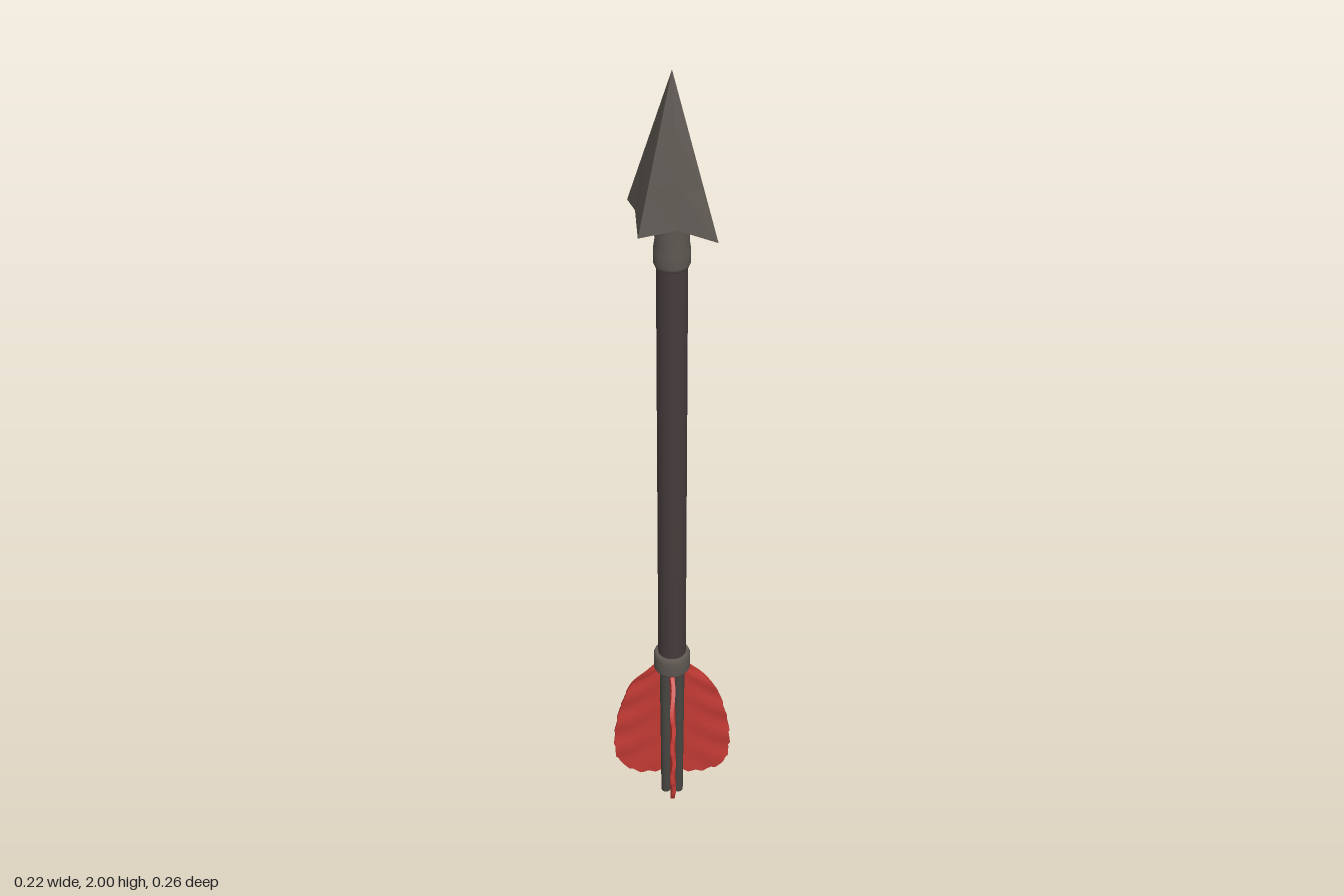
import * as THREE from 'three';

const material = (name, color) => {
  const m = new THREE.MeshStandardMaterial({ color });
  m.name = name;
  return m;
};

export function createModel() {
  const steel = material('dark steel', 0x5d5751);
  const wood = material('dark wood', 0x463c3c);
  const nockGrey = material('nock grey', 0x484641);
  const red = material('feather red', 0xc23a34);
  const model = new THREE.Group();
  model.name = 'arrow';

  const add = (name, geometry, mat, parent = model) => {
    const mesh = new THREE.Mesh(geometry, mat);
    mesh.name = name;
    parent.add(mesh);
    return mesh;
  };
  const lathe = (name, profile, mat, sides = 20) =>
    add(name, new THREE.LatheGeometry(profile.map(p => new THREE.Vector2(...p)), sides), mat);

  // Four-sided head: barbed corners, slightly hollow faces, recessed underside
  const ring = t => {
    const points = [];
    for (let i = 0; i < 8; i++) {
      const a = i * Math.PI / 4, corner = i % 2 === 0;
      const s = t * (corner ? 1 : 0.93 + 0.07 * (1 - t));
      // straight diamond edge: halve the corner coordinates between corners
      const x = corner ? Math.cos(a) * 0.1 : Math.sign(Math.cos(a)) * 0.05;
      const z = corner ? Math.sin(a) * 0.13 : Math.sign(Math.sin(a)) * 0.065;
      points.push([x * s, 2 - t * (corner ? 0.335 : 0.315), z * s]);
    }
    return points;
  };
  const inner = ring(1).map(([x, , z]) => {
    const k = 0.034 / Math.hypot(x, z);
    return [x * k, 1.69, z * k];
  });
  const rings = [ring(0.01), ring(0.35), ring(0.7), ring(1), inner];
  const pos = [];
  for (let r = 0; r < rings.length - 1; r++) {
    for (let i = 0; i < 8; i++) {
      const j = (i + 1) % 8;
      const [a, b, c, d] = [rings[r][i], rings[r][j], rings[r + 1][i], rings[r + 1][j]];
      pos.push(...a, ...b, ...c, ...b, ...d, ...c);
      if (r === 0) pos.push(0, 2, 0, ...b, ...a);
    }
  }
  const headGeometry = new THREE.BufferGeometry();
  headGeometry.setAttribute('position', new THREE.Float32BufferAttribute(pos, 3));
  headGeometry.computeVertexNormals();
  steel.side = THREE.DoubleSide;
  add('head', headGeometry, steel);

  // Socket, shaft and collar
  lathe('socket', [[0, 1.56], [0.036, 1.56], [0.04, 1.57], [0.04, 1.6], [0.037, 1.62], [0.037, 1.71]], steel);
  lathe('shaft', [[0, 0.44], [0.034, 0.44], [0.034, 1.58]], wood);
  lathe('collar', [[0, 0.415], [0.04, 0.415], [0.045, 0.424], [0.045, 0.462], [0.04, 0.472], [0, 0.472]], steel);

  // Nock: slim core with four rods that clamp the feathers
  lathe('nockCore', [[0, 0.06], [0.02, 0.06], [0.02, 0.43]], nockGrey, 12);
  for (let i = 0; i < 4; i++) {
    const a = i * Math.PI / 2;
    const rod = add('nockRod', new THREE.CylinderGeometry(0.015, 0.012, 0.43, 10), nockGrey);
    rod.position.set(Math.cos(a) * 0.022, 0.215, Math.sin(a) * 0.022);
  }

  // Feather: a thin slab with a rounded outline, ragged edge and slanting ripples
  const outline = new THREE.SplineCurve(
    [[0.11, 0], [0.14, 0.1], [0.147, 0.3], [0.134, 0.56], [0.102, 0.82], [0.045, 1]]
      .map(p => new THREE.Vector2(...p)));
  const outlineRadius = v => {
    let lo = 0, hi = 1;
    for (let i = 0; i < 20; i++) {
      const mid = (lo + hi) / 2;
      if (outline.getPoint(mid).y < v) lo = mid; else hi = mid;
    }
    return outline.getPoint(lo).x;
  };
  const featherGeometry = new THREE.BoxGeometry(1, 1, 1, 10, 48, 1);
  const p = featherGeometry.attributes.position;
  for (let i = 0; i < p.count; i++) {
    const u = p.getX(i) + 0.5, v = p.getY(i) + 0.5;
    const notch = ((v * 8) % 1) * 0.006 * (1 - v);
    const radius = 0.012 + u * (outlineRadius(v) - 0.012 - notch);
    const y = 0.065 + 0.355 * v - (1 - v) * 0.012 * Math.sin(u * Math.PI)
      + (1 - v) * 0.004 * Math.sin(u * 16);
    const ripple = 0.0025 * u * Math.sin((v * 8 + u * 2) * Math.PI);
    p.setXYZ(i, radius, y, p.getZ(i) * (0.012 - 0.003 * u) + ripple);
  }
  featherGeometry.computeVertexNormals();
  for (let i = 0; i < 4; i++) {
    add('feather', featherGeometry, red).rotation.y = Math.PI / 4 + i * Math.PI / 2;
  }
  return model;
}
